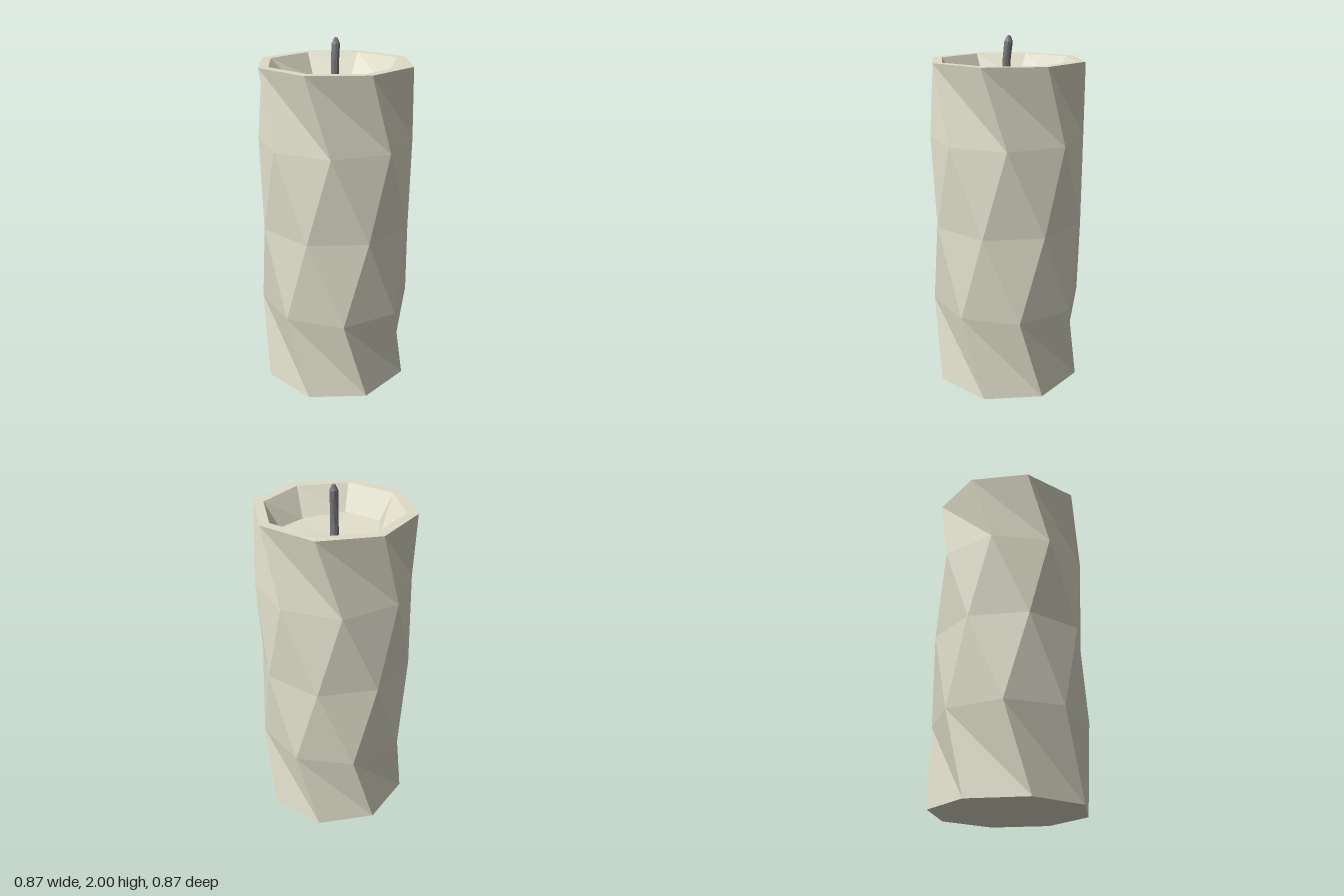
import * as THREE from 'three';

// One ring of points; angles start at +z and run towards +x
function ring(y, radius, twist = 0, sides = 8, cx = 0, cz = 0) {
  return Array.from({ length: sides }, (_, i) => {
    const a = THREE.MathUtils.degToRad(twist) + (i / sides) * Math.PI * 2;
    return new THREE.Vector3(cx + Math.sin(a) * radius, y, cz + Math.cos(a) * radius);
  });
}

// Skin a stack of rings with flat triangles, skipping the empty ones at a point
function skin(rings) {
  const pos = [];
  const tri = (a, b, c) => {
    if (a.distanceTo(b) < 1e-6 || b.distanceTo(c) < 1e-6 || a.distanceTo(c) < 1e-6) return;
    for (const p of [a, b, c]) pos.push(p.x, p.y, p.z);
  };
  for (let k = 0; k < rings.length - 1; k++) {
    const lo = rings[k], up = rings[k + 1], n = lo.length;
    for (let i = 0; i < n; i++) {
      const j = (i + 1) % n;
      tri(lo[i], lo[j], up[i]);
      tri(lo[j], up[j], up[i]);
    }
  }
  const geometry = new THREE.BufferGeometry();
  geometry.setAttribute('position', new THREE.Float32BufferAttribute(pos, 3));
  geometry.computeVertexNormals();
  return geometry;
}

function part(name, geometry, color) {
  const mesh = new THREE.Mesh(geometry, new THREE.MeshStandardMaterial({ color, flatShading: true }));
  mesh.name = name;
  return mesh;
}

export function createModel() {
  const group = new THREE.Group();
  group.name = 'candle';

  // Uneven edge of the melted pool, as x, z pairs
  const pool = [[0, 0.297], [0.21, 0.15], [0.297, 0], [0.21, -0.21],
    [0, -0.25], [-0.21, -0.21], [-0.24, 0], [-0.21, 0.21]]
    .map(([x, z]) => new THREE.Vector3(x, 1.73, z));

  // Faceted wax: base, twisted side bands, rim, inner wall and shallow pool
  group.add(part('waxBody', skin([
    ring(0, 0),
    ring(0, 0.436),
    ring(0.48, 0.437, -18.4),
    ring(0.97, 0.436),
    ring(1.45, 0.432, 17.4),
    ring(1.87, 0.436),
    ring(1.87, 0.38),
    pool,
    ring(1.70, 0),
  ]), 0xdedcc8));

  // Slightly bent wick with a blunt tip
  group.add(part('wick', skin([
    ring(1.68, 0.026, 0, 8, 0, 0.004),
    ring(1.78, 0.022, 12, 8, 0, 0.006),
    ring(1.88, 0.023, 0, 8, 0, 0),
    ring(1.965, 0.023, 15, 8, 0, -0.01),
    ring(1.995, 0.01, 0, 8, 0, -0.012),
    ring(2, 0, 0, 8, 0, -0.012),
  ]), 0x77757a));

  return group;
}
